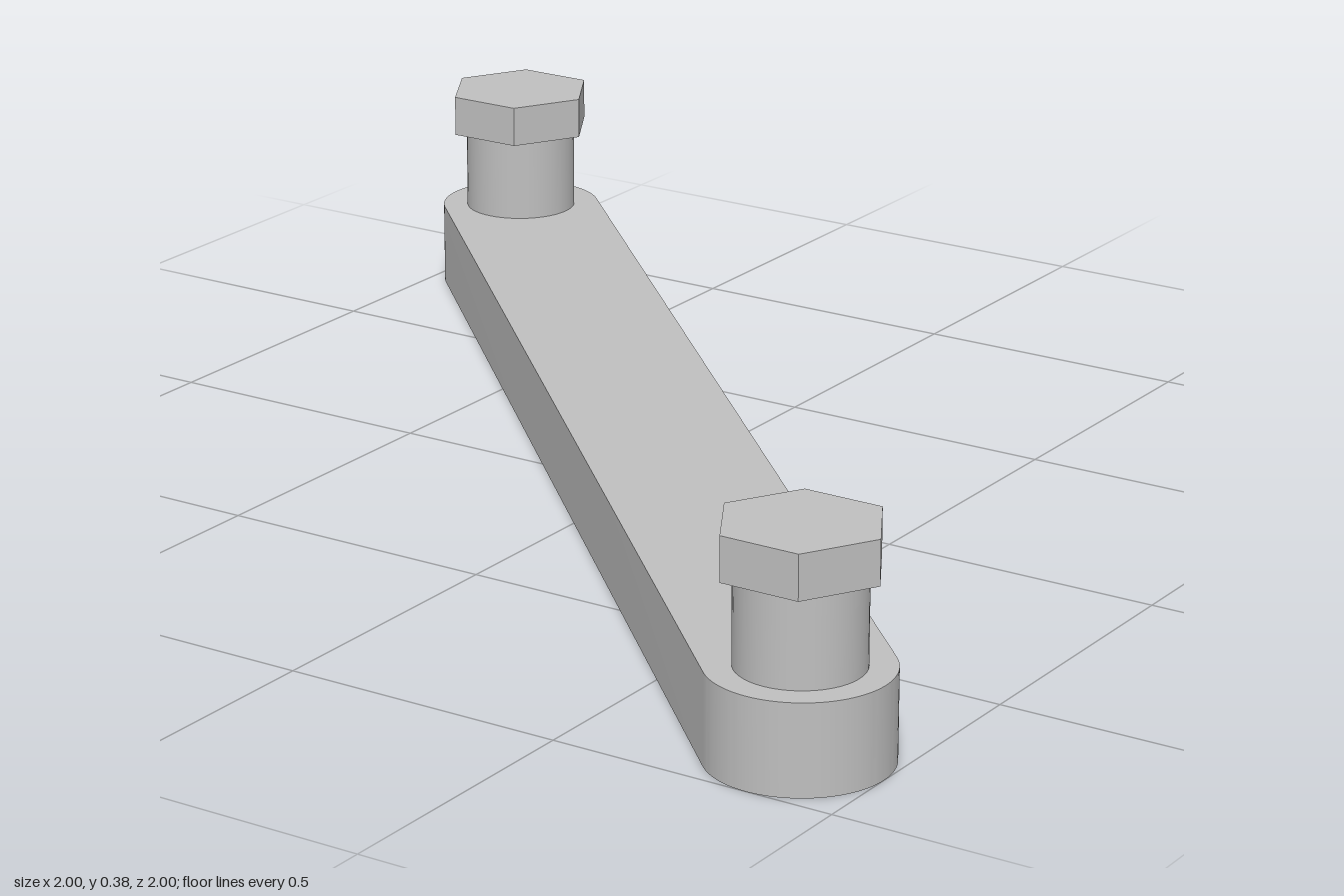
import * as THREE from 'three';
import { toCreasedNormals } from 'three/addons/utils/BufferGeometryUtils.js';

const END = 0.85;          // stud position on x and z
const BAR_R = 0.15;        // half width of the bar
const BAR_H = 0.154;
const NECK_TOP = 0.31;
const HEAD_TOP = 0.385;

export function createModel() {
  const model = new THREE.Group();
  const steel = new THREE.MeshStandardMaterial({ color: 0xbfbfbf });
  steel.name = 'grey steel';

  const add = (name, geometry, parent) => {
    const mesh = new THREE.Mesh(geometry, steel);
    mesh.name = name;
    parent.add(mesh);
    return mesh;
  };

  // Round-ended bar, laid flat and turned onto the diagonal
  const half = END * Math.SQRT2;
  const outline = new THREE.Shape();
  outline.absarc(half, 0, BAR_R, -Math.PI / 2, Math.PI / 2);
  outline.absarc(-half, 0, BAR_R, Math.PI / 2, Math.PI * 1.5);
  outline.closePath();
  const barGeometry = new THREE.ExtrudeGeometry(outline, {
    depth: BAR_H, bevelEnabled: false, curveSegments: 32,
  });
  barGeometry.rotateX(-Math.PI / 2).rotateY(-Math.PI / 4);
  add('bar', toCreasedNormals(barGeometry, Math.PI / 6), model);

  // Headed stud at each end: round neck with a hexagonal head
  const neckGeometry = new THREE.CylinderGeometry(0.104, 0.104, NECK_TOP - BAR_H, 48);
  const headGeometry = toCreasedNormals(
    new THREE.CylinderGeometry(0.138, 0.138, HEAD_TOP - NECK_TOP, 6).rotateY(Math.PI / 6),
    Math.PI / 6,
  );
  for (const side of [-1, 1]) {
    const stud = new THREE.Group();
    stud.name = side > 0 ? 'frontStud' : 'backStud';
    stud.position.set(side * END, 0, side * END);
    add('studNeck', neckGeometry, stud).position.y = (BAR_H + NECK_TOP) / 2;
    add('hexHead', headGeometry, stud).position.y = (NECK_TOP + HEAD_TOP) / 2;
    model.add(stud);
  }
  return model;
}
